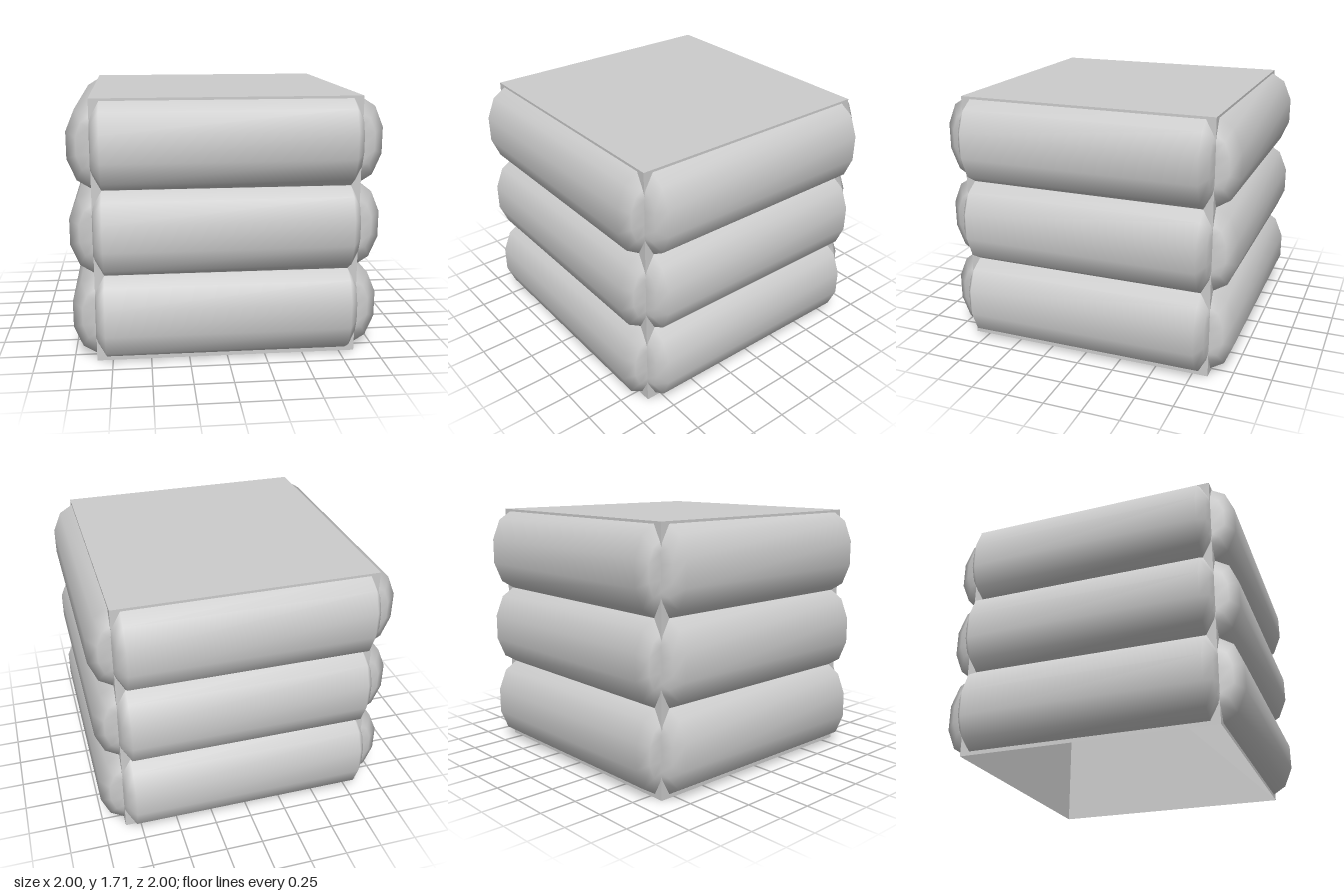
import * as THREE from 'three';

const HALF = 0.853;    // half width of the hollow core
const HEIGHT = 1.706;

// Core box: four walls and a lid, open underneath
function openBox() {
  const geo = new THREE.BoxGeometry(2 * HALF, HEIGHT, 2 * HALF);
  const index = Array.from(geo.index.array);
  index.splice(18, 6); // drop the bottom face
  geo.setIndex(index);
  geo.clearGroups();
  return geo;
}

// Half-round bolster along x, swelling towards +z from the wall plane z = 0
function bolsterGeometry() {
  const profile = [[1, 0], [0.8, 0.61], [0.31, 1], [-0.31, 1], [-0.8, 0.61], [-1, 0]]; // y, depth
  const end = [[0.855, 0.145, 0], [0.842, 0.18, 0.085], [0.79, 0.277, 0.147]]; // x, half height, depth
  const rings = [
    ...end.map(([x, h, d]) => [-x, h, d]),
    ...end.slice().reverse(),
  ];
  const pos = [], index = [], n = profile.length;
  rings.forEach(([x, h, d], i) => {
    for (const [y, z] of profile) pos.push(x, y * h, z * d);
    if (i === rings.length - 1) return;
    for (let j = 0; j < n - 1; j++) {
      const a = i * n + j, b = a + n;
      index.push(a, a + 1, b, b, a + 1, b + 1);
    }
  });
  const geo = new THREE.BufferGeometry();
  geo.setAttribute('position', new THREE.Float32BufferAttribute(pos, 3));
  geo.setIndex(index);
  geo.computeVertexNormals();
  return geo;
}

export function createModel() {
  const model = new THREE.Group();
  model.name = 'paddedBlock';
  const material = new THREE.MeshStandardMaterial({ color: 0xcccccc, side: THREE.DoubleSide });

  const core = new THREE.Mesh(openBox(), material);
  core.name = 'core';
  core.position.y = HEIGHT / 2;
  model.add(core);

  // Three stacked bolsters on each of the four walls
  const bolster = bolsterGeometry();
  ['front', 'left', 'back', 'right'].forEach((side, k) => {
    const wall = new THREE.Group();
    wall.name = side + 'Bolsters';
    wall.rotation.y = k * Math.PI / 2;
    for (let row = 0; row < 3; row++) {
      const mesh = new THREE.Mesh(bolster, material);
      mesh.name = side + 'Bolster' + (row + 1);
      mesh.position.set(0, 0.303 + row * 0.555, HALF);
      wall.add(mesh);
    }
    model.add(wall);
  });
  return model;
}
